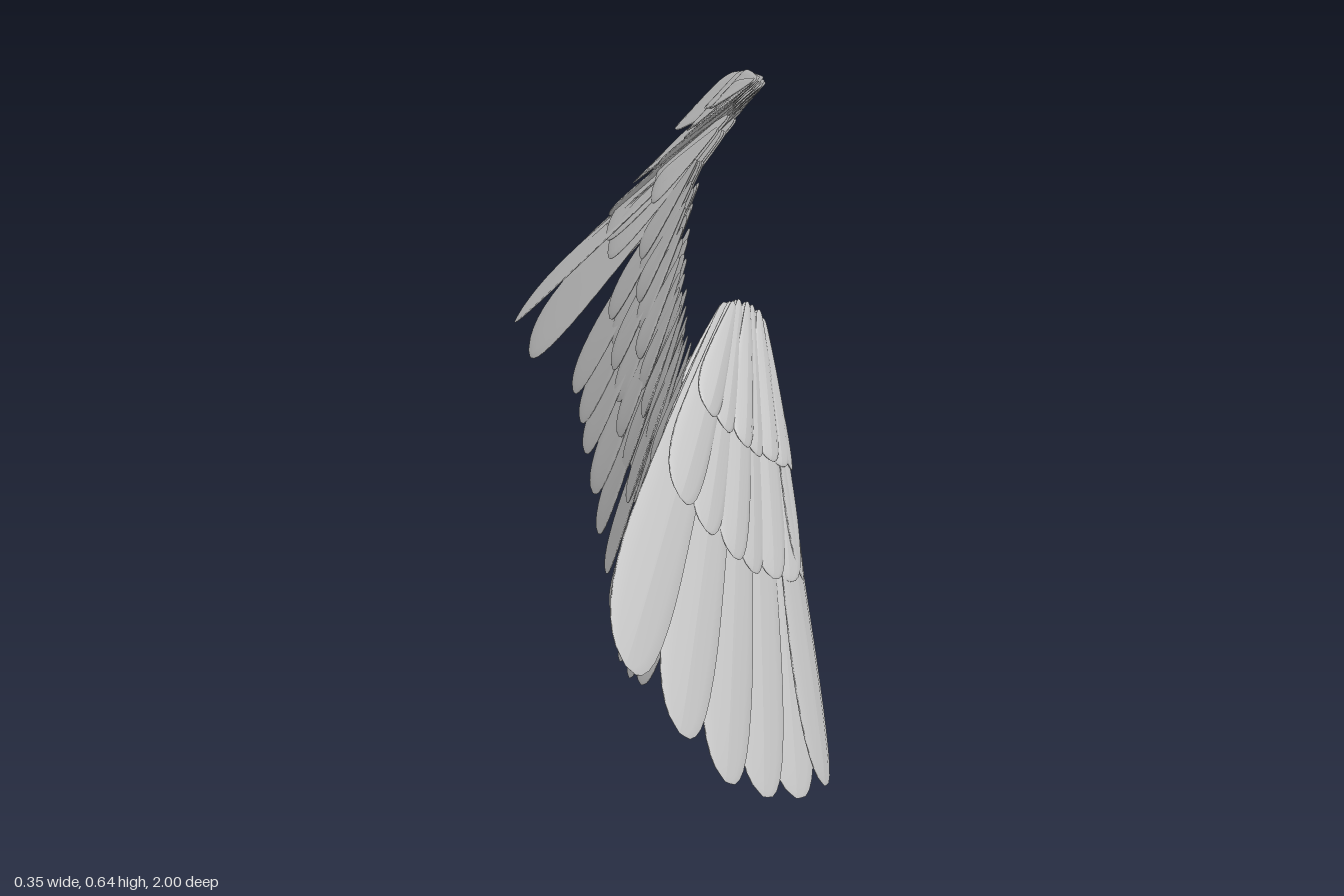
import * as THREE from 'three';

const V = (p) => new THREE.Vector3(...p);
const material = new THREE.MeshStandardMaterial({ color: 0xcccccc, side: THREE.DoubleSide });

// Unit feather: slim quill at y = 0, widest near the rounded tip at y = 1, flattened when scaled
function featherGeometry(outline) {
  const curve = new THREE.SplineCurve(outline.map(([r, y]) => new THREE.Vector2(r, y)));
  const points = curve.getPoints(20).map((p) => new THREE.Vector2(Math.max(p.x, 0), p.y));
  const geometry = new THREE.LatheGeometry(points, 10);
  const pos = geometry.attributes.position;
  // Gentle camber across the blade
  for (let i = 0; i < pos.count; i++) {
    const x = pos.getX(i);
    pos.setZ(i, pos.getZ(i) - 1.2 * x * x);
  }
  geometry.computeVertexNormals();
  return geometry;
}
const blade = featherGeometry([[0, 0], [0.2, 0.02], [0.36, 0.12], [0.66, 0.36],
  [0.92, 0.62], [1, 0.78], [0.86, 0.91], [0.5, 0.98], [0, 1]]);

// Places one feather between root and tip, its flat side facing normal
function feather(name, root, tip, normal, width, roll) {
  const along = tip.clone().sub(root);
  const length = along.length();
  along.normalize();
  const across = new THREE.Vector3().crossVectors(along, normal).normalize();
  const facing = new THREE.Vector3().crossVectors(across, along);
  const mesh = new THREE.Mesh(blade, material);
  mesh.name = name;
  mesh.quaternion.setFromRotationMatrix(new THREE.Matrix4().makeBasis(across, along, facing));
  mesh.rotateY(roll);
  mesh.position.copy(root);
  mesh.scale.set(width / 2, length, 0.0028);
  return mesh;
}

// A row of feathers swept between a root curve and a tip curve
function featherRow(name, pairs, { count, reach = 1, width, offset = 0, roll = 0.1 }) {
  const row = new THREE.Group();
  row.name = name;
  const roots = new THREE.CatmullRomCurve3(pairs.map((p) => V(p[0])));
  const tips = new THREE.CatmullRomCurve3(pairs.map((p) => V(p[1])));
  for (let i = 0; i < count; i++) {
    const t = i / (count - 1);
    const root = roots.getPoint(t);
    const tip = tips.getPoint(t);
    const dir = tip.clone().sub(root);
    const normal = tips.getTangent(t).cross(dir).normalize();
    if (normal.x < 0) normal.negate();
    const end = root.clone().addScaledVector(dir, reach);
    const lift = offset + (i % 2 ? 0.001 : -0.001);
    root.addScaledVector(normal, lift * 0.6);
    end.addScaledVector(normal, lift);
    row.add(feather(name + 'Feather', root, end, normal, width, roll));
  }
  return row;
}

function wing(name, secondaries, primaries) {
  const group = new THREE.Group();
  group.name = name;
  group.add(featherRow('secondary', secondaries, { count: 15, width: 0.062 }));
  group.add(featherRow('primary', primaries, { count: primaries.length, width: 0.1 }));
  // Shorter coverts overlap the flight feathers on both faces
  for (const side of [1, -1]) {
    const face = side > 0 ? 'left' : 'right';
    group.add(featherRow(face + 'SecondaryCovert', secondaries,
      { count: 17, reach: 0.68, width: 0.045, offset: 0.005 * side }));
    group.add(featherRow(face + 'SmallCovert', secondaries,
      { count: 19, reach: 0.42, width: 0.036, offset: 0.008 * side }));
    group.add(featherRow(face + 'PrimaryCovert', primaries,
      { count: 8, reach: 0.56, width: 0.064, offset: 0.006 * side }));
    group.add(featherRow(face + 'SmallPrimaryCovert', primaries,
      { count: 8, reach: 0.32, width: 0.045, offset: 0.01 * side }));
  }
  return group;
}

export function createModel() {
  const model = new THREE.Group();
  model.name = 'wings';

  // Each entry is [root, tip], running from the body outwards
  model.add(wing('frontWing', [
    [[0.07, 0.45, 0.1], [0.065, 0.17, 0.02]],
    [[0.07, 0.39, 0.13], [0.065, 0.06, 0.07]],
    [[0.075, 0.33, 0.18], [0.066, 0.01, 0.15]],
    [[0.085, 0.325, 0.25], [0.072, 0.03, 0.24]],
    [[0.095, 0.34, 0.32], [0.087, 0.06, 0.33]],
    [[0.108, 0.39, 0.4], [0.11, 0.09, 0.42]],
    [[0.112, 0.46, 0.44], [0.14, 0.1, 0.51]],
  ], [
    [[0.112, 0.5, 0.455], [0.162, 0.1, 0.585]],
    [[0.11, 0.52, 0.46], [0.172, 0.095, 0.66]],
    [[0.107, 0.53, 0.465], [0.145, 0.1, 0.725]],
    [[0.1, 0.54, 0.47], [0.11, 0.12, 0.795]],
    [[0.094, 0.545, 0.48], [0.075, 0.155, 0.87]],
    [[0.086, 0.55, 0.49], [0.03, 0.22, 0.94]],
    [[0.078, 0.55, 0.505], [-0.018, 0.3, 1]],
  ]));

  model.add(wing('backWing', [
    [[0.12, 0.405, -0.12], [0.1, 0.17, -0.035]],
    [[0.115, 0.38, -0.14], [0.065, 0.065, -0.065]],
    [[0.1, 0.35, -0.17], [-0.015, 0.005, -0.12]],
    [[0.07, 0.335, -0.22], [-0.04, 0.015, -0.19]],
    [[0.04, 0.35, -0.29], [-0.052, 0.055, -0.28]],
    [[0.03, 0.41, -0.37], [-0.068, 0.12, -0.39]],
    [[0.035, 0.49, -0.425], [-0.085, 0.2, -0.47]],
    [[0.05, 0.55, -0.45], [-0.1, 0.26, -0.54]],
  ], [
    [[0.075, 0.585, -0.455], [-0.155, 0.295, -0.62]],
    [[0.09, 0.605, -0.46], [-0.172, 0.325, -0.69]],
    [[0.1, 0.62, -0.465], [-0.13, 0.35, -0.78]],
    [[0.11, 0.63, -0.47], [-0.08, 0.4, -0.865]],
    [[0.115, 0.635, -0.48], [-0.015, 0.465, -0.945]],
    [[0.118, 0.635, -0.5], [0.04, 0.535, -1]],
  ]));
  return model;
}
